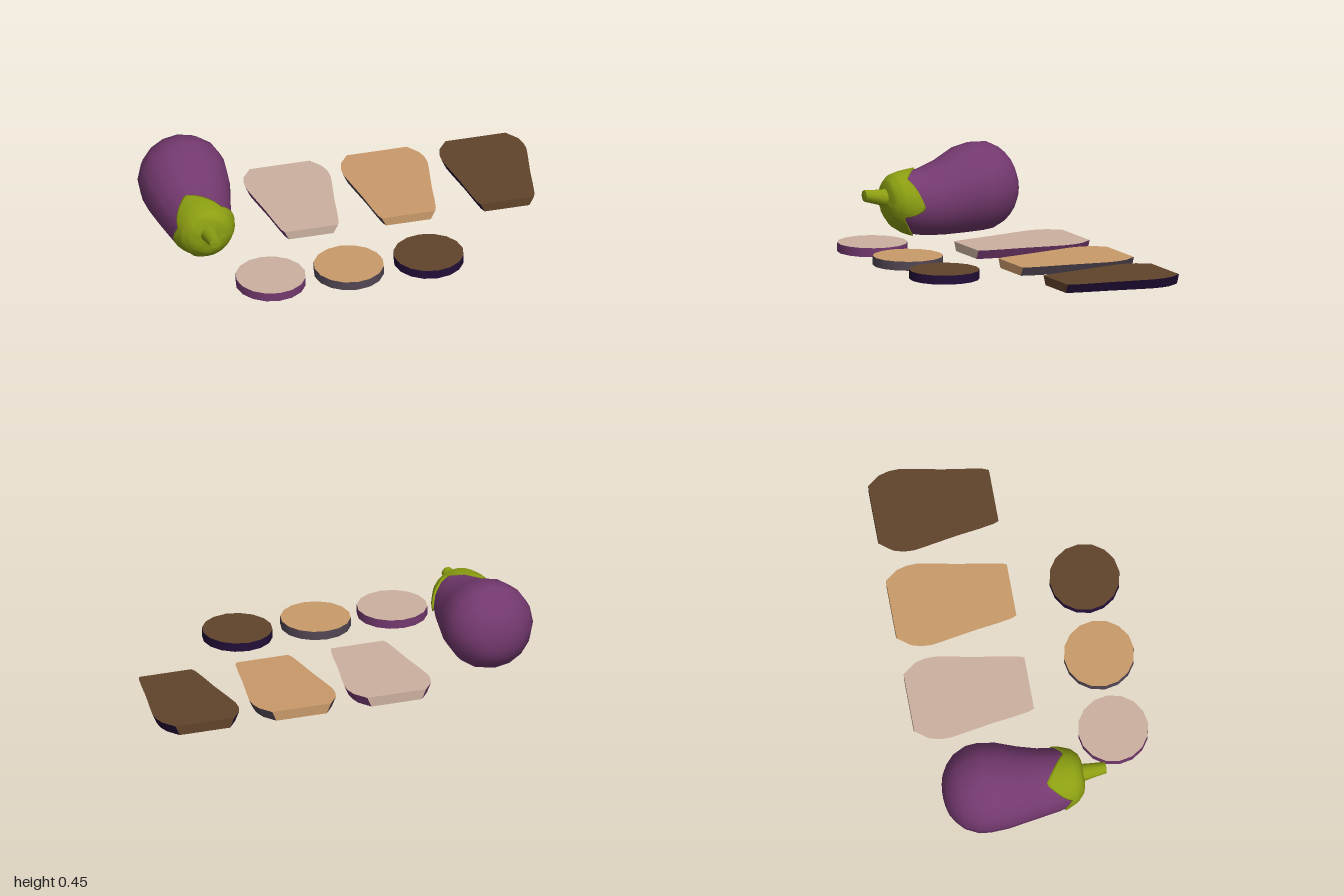
import * as THREE from 'three';

const mat = (name, color, side = THREE.FrontSide) => {
  const m = new THREE.MeshStandardMaterial({ color, side });
  m.name = name;
  return m;
};

// Stations along the fruit: z, centre height, radius
const PROFILE = [
  [-0.505, 0.217, 0], [-0.504, 0.217, 0.025], [-0.5, 0.218, 0.058], [-0.489, 0.22, 0.1],
  [-0.464, 0.226, 0.143], [-0.424, 0.228, 0.186], [-0.357, 0.229, 0.218], [-0.3, 0.227, 0.223],
  [-0.21, 0.216, 0.215], [-0.104, 0.187, 0.188], [-0.01, 0.173, 0.168], [0.06, 0.175, 0.157],
  [0.1, 0.18, 0.147], [0.15, 0.19, 0.124], [0.18, 0.197, 0.09], [0.195, 0.205, 0.045], [0.196, 0.205, 0],
];

// Centre height and radius at any z
function stationAt(z) {
  let i = 0;
  while (i < PROFILE.length - 2 && PROFILE[i + 1][0] < z) i++;
  const [a, b] = [PROFILE[i], PROFILE[i + 1]];
  const t = THREE.MathUtils.clamp((z - a[0]) / (b[0] - a[0]), 0, 1);
  return [a[1] + (b[1] - a[1]) * t, a[2] + (b[2] - a[2]) * t];
}

// Closed rings running towards +z, joined into a smooth skin
function loft(rings, sides, point) {
  const pos = [], index = [];
  for (let i = 0; i < rings; i++) {
    for (let j = 0; j < sides; j++) {
      pos.push(...point(i, (j / sides) * Math.PI * 2));
      if (i === rings - 1) continue;
      const k = (j + 1) % sides;
      const a = i * sides + j, b = i * sides + k, c = b + sides, d = a + sides;
      index.push(a, b, c, a, c, d);
    }
  }
  const g = new THREE.BufferGeometry();
  g.setAttribute('position', new THREE.Float32BufferAttribute(pos, 3));
  g.setIndex(index);
  g.computeVertexNormals();
  return g;
}

const loftStations = (stations, sides) => loft(stations.length, sides, (i, a) => {
  const [z, y, r] = stations[i];
  return [Math.cos(a) * r, y + Math.sin(a) * r, z];
});

// Leafy cap rim: angle in degrees, z of the edge (tips and notches)
const RIM = [
  [-30, 0.148], [-3, 0.05], [58, 0.112], [115, 0.0], [165, 0.12],
  [195, 0.08], [235, 0.14], [275, 0.05], [330, 0.148],
];
function rimAt(angle) {
  let d = THREE.MathUtils.radToDeg(angle);
  if (d > 330) d -= 360;
  const i = RIM.findIndex((p, k) => d <= RIM[k + 1][0]);
  const [a, b] = [RIM[i], RIM[i + 1]];
  return a[1] + ((b[1] - a[1]) * (d - a[0])) / (b[0] - a[0]);
}

function calyxGeometry() {
  const steps = 14;
  return loft(steps + 1, 64, (i, a) => {
    // the first ring tucks under to give the rim a thickness
    const t = Math.max(0, i - 1) / (steps - 1);
    const z = THREE.MathUtils.lerp(rimAt(a), 0.196, t);
    const [y, r0] = stationAt(z);
    const r = r0 + (i === 0 ? -0.005 : 0.008);
    return [Math.cos(a) * r, y + Math.sin(a) * r, z + 0.006 * t];
  });
}

// Flat-shaded quads, corners counter-clockwise from outside
function quads(list) {
  const pos = [];
  for (const [a, b, c, d] of list) pos.push(...a, ...b, ...c, ...a, ...c, ...d);
  const g = new THREE.BufferGeometry();
  g.setAttribute('position', new THREE.Float32BufferAttribute(pos, 3));
  g.computeVertexNormals();
  return g;
}

// Lengthwise slice outline: z, half width
const SLICE = [
  [-0.573, 0.153], [-0.51, 0.2], [-0.46, 0.214], [-0.41, 0.216], [-0.36, 0.208],
  [-0.19, 0.177], [-0.08, 0.161], [0, 0.147], [0.028, 0.136],
];

function sliceGeometries() {
  const rows = SLICE.map(([z, w]) => {
    const top = 0.05 - z * 0.01, low = 0.005, v = w - 0.022;
    return { tl: [-w, top, z], tr: [w, top, z], br: [v, low, z], bl: [-v, low, z] };
  });
  const flesh = [], peel = [];
  for (let i = 0; i < rows.length - 1; i++) {
    const p = rows[i], q = rows[i + 1];
    flesh.push([p.tl, q.tl, q.tr, p.tr], [p.bl, p.br, q.br, q.bl]);
    peel.push([p.tr, q.tr, q.br, p.br], [p.tl, p.bl, q.bl, q.tl]);
  }
  const back = rows[0], front = rows[rows.length - 1];
  flesh.push([front.tl, front.bl, front.br, front.tr], [back.tl, back.tr, back.br, back.bl]);
  return { flesh: quads(flesh), peel: quads(peel) };
}

export function createModel() {
  const model = new THREE.Group();
  model.name = 'eggplantSet';

  const purple = mat('purplePeel', 0x74396f);
  const green = mat('greenStem', 0x8c9e12, THREE.DoubleSide);

  const add = (parent, name, geometry, material) => {
    const m = new THREE.Mesh(geometry, material);
    m.name = name;
    parent.add(m);
    return m;
  };

  // Whole eggplant
  const whole = new THREE.Group();
  whole.name = 'wholeEggplant';
  whole.position.x = -0.782;
  model.add(whole);
  add(whole, 'body', loftStations(PROFILE, 16), purple);
  add(whole, 'calyx', calyxGeometry(), green);
  add(whole, 'stem', loftStations([
    [0.18, 0.206, 0.048], [0.2, 0.21, 0.043], [0.25, 0.218, 0.036], [0.31, 0.228, 0.029],
    [0.31, 0.228, 0.029], [0.313, 0.228, 0],
  ], 12), green);

  // Raw, cooked and burnt cuts: one long slice and one round each
  const cuts = [
    { name: 'raw', flesh: mat('paleFlesh', 0xcbb09f), peel: purple, sliceX: -0.217, roundX: -0.523 },
    { name: 'cooked', flesh: mat('tanFlesh', 0xc99a6a), peel: mat('greyPeel', 0x524754), sliceX: 0.278, roundX: -0.125 },
    { name: 'burnt', flesh: mat('brownFlesh', 0x60432b), peel: mat('darkPeel', 0x220e38), sliceX: 0.781, roundX: 0.282 },
  ];
  const slice = sliceGeometries();
  const round = new THREE.CylinderGeometry(0.174, 0.174, 0.045, 16);
  for (const c of cuts) {
    const g = new THREE.Group();
    g.name = c.name + 'Slice';
    g.position.x = c.sliceX;
    add(g, c.name + 'SliceFlesh', slice.flesh, c.flesh);
    add(g, c.name + 'SlicePeel', slice.peel, c.peel);
    model.add(g);
    add(model, c.name + 'Round', round, [c.peel, c.flesh, c.flesh]).position.set(c.roundX, 0.0275, 0.393);
  }
  return model;
}
